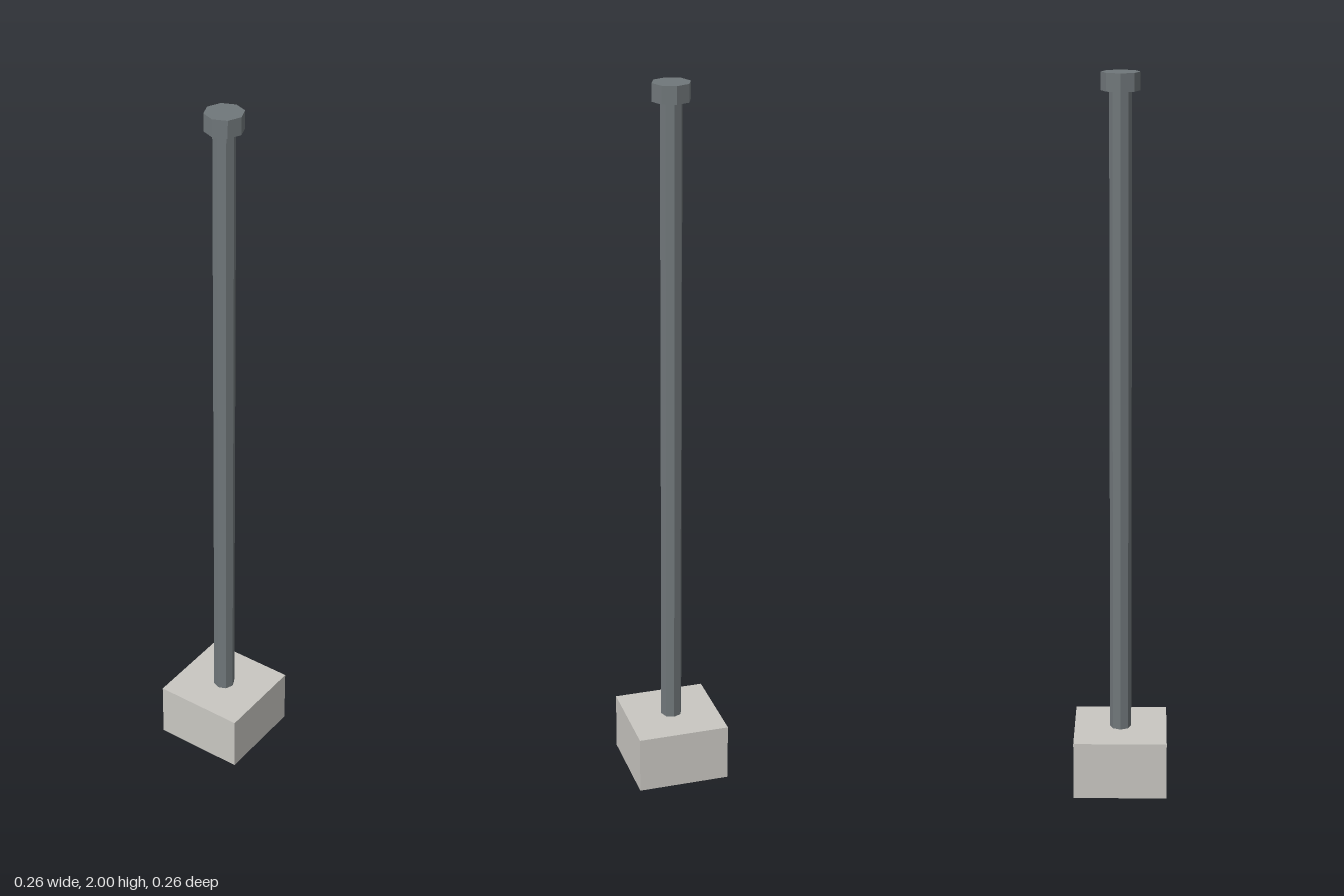
import * as THREE from 'three';

export function createModel() {
  const group = new THREE.Group();
  const concrete = new THREE.MeshStandardMaterial({ color: 0xc9c7c2 });
  concrete.name = 'concrete';
  const steel = new THREE.MeshStandardMaterial({ color: 0x70777a, flatShading: true });
  steel.name = 'steel';

  // Adds a part resting on the given height
  const add = (name, geometry, material, bottom, height) => {
    const mesh = new THREE.Mesh(geometry, material);
    mesh.name = name;
    mesh.position.y = bottom + height / 2;
    group.add(mesh);
  };

  // Square footing
  const baseH = 0.164;
  add('footing', new THREE.BoxGeometry(0.26, baseH, 0.26), concrete, 0, baseH);

  // Octagonal post and its wider cap
  const capH = 0.048;
  const postH = 2 - capH - baseH;
  add('post', new THREE.CylinderGeometry(0.03, 0.03, postH, 8), steel, baseH, postH);
  add('cap', new THREE.CylinderGeometry(0.052, 0.052, capH, 8), steel, 2 - capH, capH);

  return group;
}
